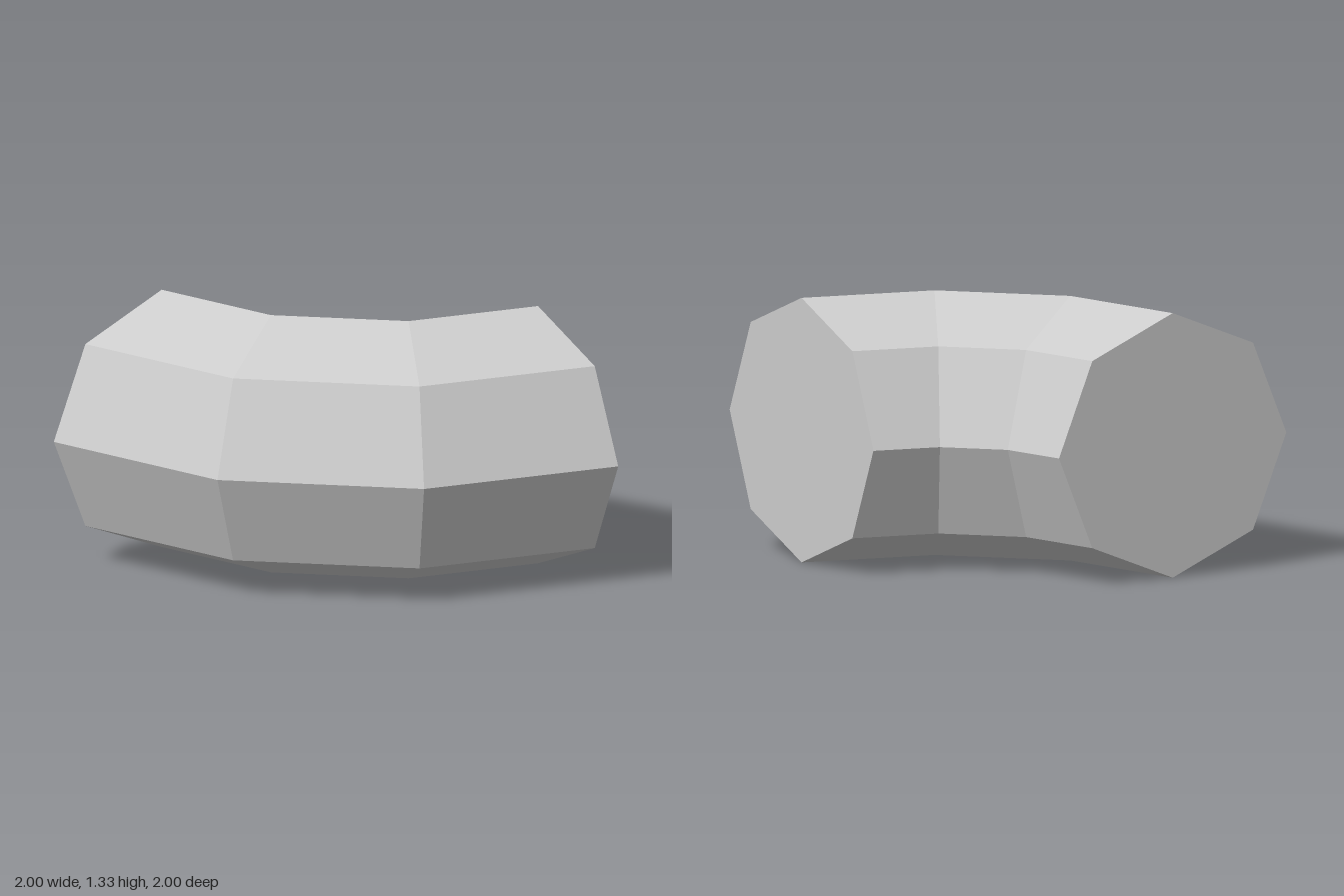
import * as THREE from 'three';

const SIDES = 8;
const MID_Y = 0.667;

// Mitred rings of the bend: outer and inner corner as [x, z]
const RINGS = [
  { outer: [-1, -1], inner: [0.333, -1] },
  { outer: [-0.732, 0], inner: [0.423, -0.667] },
  { outer: [0, 0.732], inner: [0.667, -0.423] },
  { outer: [1, 1], inner: [1, -0.333] },
];

// Point on a ring: angle 0 is the outer corner, a quarter turn is the top
function ringPoint({ outer, inner }, j) {
  const a = (j / SIDES) * Math.PI * 2;
  const c = Math.cos(a) / 2;
  return [
    (outer[0] + inner[0]) / 2 + (outer[0] - inner[0]) * c,
    MID_Y + MID_Y * Math.sin(a),
    (outer[1] + inner[1]) / 2 + (outer[1] - inner[1]) * c,
  ];
}

function meshFrom(name, triangles, material) {
  const geometry = new THREE.BufferGeometry();
  geometry.setAttribute('position', new THREE.Float32BufferAttribute(triangles.flat(), 3));
  geometry.computeVertexNormals();
  const mesh = new THREE.Mesh(geometry, material);
  mesh.name = name;
  return mesh;
}

// Flat octagonal end
function endCap(ring, flip) {
  const points = [];
  for (let j = 1; j < SIDES - 1; j++) {
    const [b, c] = flip ? [j + 1, j] : [j, j + 1];
    points.push(ringPoint(ring, 0), ringPoint(ring, b), ringPoint(ring, c));
  }
  return points;
}

export function createModel() {
  const group = new THREE.Group();
  group.name = 'pipeElbow';
  const grey = new THREE.MeshStandardMaterial({ color: 0xcccccc });
  grey.name = 'light grey';
  grey.flatShading = true;

  // Faceted wall between consecutive rings
  const wall = [];
  for (let i = 0; i < RINGS.length - 1; i++) {
    for (let j = 0; j < SIDES; j++) {
      const a = ringPoint(RINGS[i], j);
      const b = ringPoint(RINGS[i + 1], j);
      const c = ringPoint(RINGS[i + 1], j + 1);
      const d = ringPoint(RINGS[i], j + 1);
      wall.push(a, b, c, a, c, d);
    }
  }

  group.add(
    meshFrom('elbowWall', wall, grey),
    meshFrom('backEnd', endCap(RINGS[0], false), grey),
    meshFrom('leftEnd', endCap(RINGS[RINGS.length - 1], true), grey),
  );
  return group;
}
